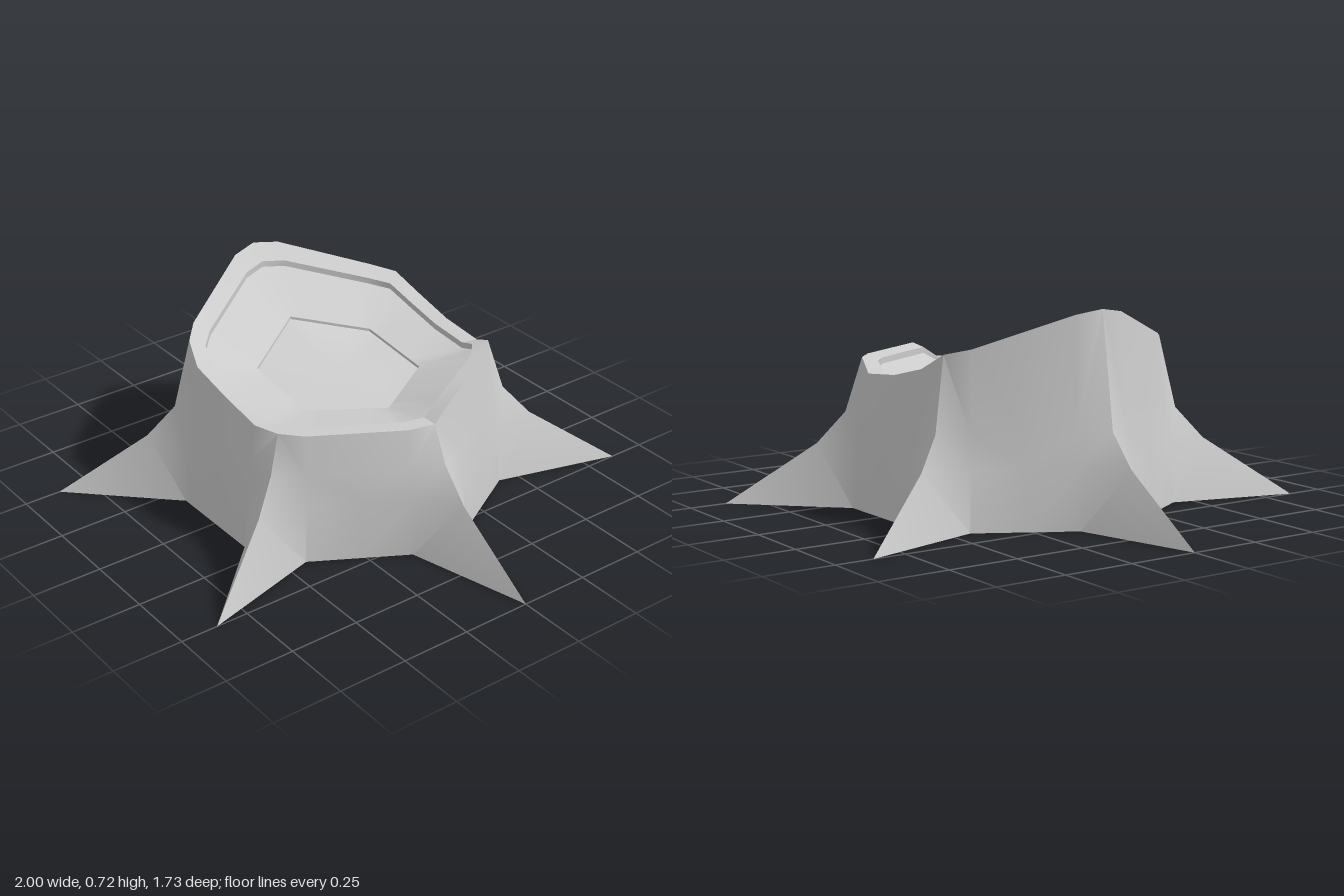
import * as THREE from 'three';
import { mergeVertices, toCreasedNormals } from 'three/addons/utils/BufferGeometryUtils.js';

// Rim heights: ridge, flank, valley, flank for each of the six root sectors
const RIM = [
  0.45, 0.45, 0.45, 0.45, 0.45, 0.45, 0.48, 0.52,
  0.575, 0.595, 0.65, 0.705, 0.72, 0.705, 0.65, 0.595,
  0.575, 0.52, 0.48, 0.465, 0.51, 0.51, 0.51, 0.51,
];
// Heights of the six corners of the sunken heartwood
const HEART = [0.39, 0.398, 0.436, 0.503, 0.436, 0.406];

// One 24-point cross-section: six ridges joined by flat sides
function ring(ridge, flank, spread, height, shiftX = 0) {
  const points = [];
  for (let k = 0; k < 6; k++) {
    const valley = flank * Math.cos(THREE.MathUtils.degToRad(30 - spread));
    [[0, ridge], [spread, flank], [30, valley], [60 - spread, flank]].forEach(([deg, r], j) => {
      const a = THREE.MathUtils.degToRad(k * 60 + deg);
      points.push(new THREE.Vector3(r * Math.cos(a) + shiftX, height(k * 4 + j), r * Math.sin(a)));
    });
  }
  return points;
}

// Skin consecutive rings; optional centre points close the first or last ring
function loft(rings, { bottom, top, crease = 0.6 } = {}) {
  const pos = [];
  const tri = (...pts) => pts.forEach((p) => pos.push(p.x, p.y, p.z));
  for (let r = 0; r < rings.length - 1; r++) {
    const a = rings[r], b = rings[r + 1];
    for (let i = 0; i < a.length; i++) {
      const n = (i + 1) % a.length;
      // mirror the diagonal so both sides of a ridge match
      if (i % 4 < 2) {
        tri(a[i], b[i], a[n]);
        tri(a[n], b[i], b[n]);
      } else {
        tri(a[i], b[i], b[n]);
        tri(a[i], b[n], a[n]);
      }
    }
  }
  const first = rings[0], last = rings[rings.length - 1];
  for (let i = 0; i < first.length; i++) {
    const n = (i + 1) % first.length;
    if (bottom) tri(bottom, first[i], first[n]);
    if (top) tri(top, last[n], last[i]);
  }
  const geo = new THREE.BufferGeometry();
  geo.setAttribute('position', new THREE.Float32BufferAttribute(pos, 3));
  return toCreasedNormals(mergeVertices(geo), crease);
}

export function createModel() {
  const group = new THREE.Group();
  const material = new THREE.MeshStandardMaterial({ color: 0xcccccc });
  const add = (name, geometry) => {
    const mesh = new THREE.Mesh(geometry, material);
    mesh.name = name;
    group.add(mesh);
  };

  const innerRim = (i) => 0.45 + (RIM[i] - 0.45) * 0.8;
  const heart = (i) => {
    const k = Math.floor(i / 4);
    return THREE.MathUtils.lerp(HEART[k], HEART[(k + 1) % 6], [0, 0.19, 0.5, 0.81][i % 4]);
  };

  // Flared trunk with six pointed roots
  const top = ring(0.52, 0.508, 10.5, (i) => RIM[i]);
  add('trunkAndRoots', loft([
    ring(1, 0.57, 11.5, () => 0),
    ring(0.68, 0.553, 11.5, () => 0.21),
    ring(0.58, 0.538, 11, () => 0.32),
    top,
  ], { bottom: new THREE.Vector3(0, 0, 0), crease: 0.75 }));

  // Bark rim sloping inward, with a small step down to the wood
  const lip = ring(0.465, 0.452, 10.5, innerRim);
  const step = ring(0.465, 0.452, 10.5, (i) => innerRim(i) - 0.022);
  add('barkRim', loft([top, lip, step], { crease: 0.5 }));

  // Hollowed wood sloping to the centre
  const hexFlank = 0.285 * Math.cos(Math.PI / 6) / Math.cos(THREE.MathUtils.degToRad(19.5));
  const heartEdge = ring(0.285, hexFlank, 10.5, (i) => heart(i) + 0.01, -0.01);
  add('hollowWood', loft([step, heartEdge]));

  // Slightly sunken six-sided heartwood
  const heartFloor = ring(0.285, hexFlank, 10.5, heart, -0.01);
  add('heartwood', loft([heartEdge, heartFloor], { top: new THREE.Vector3(-0.01, 0.425, 0) }));

  return group;
}
